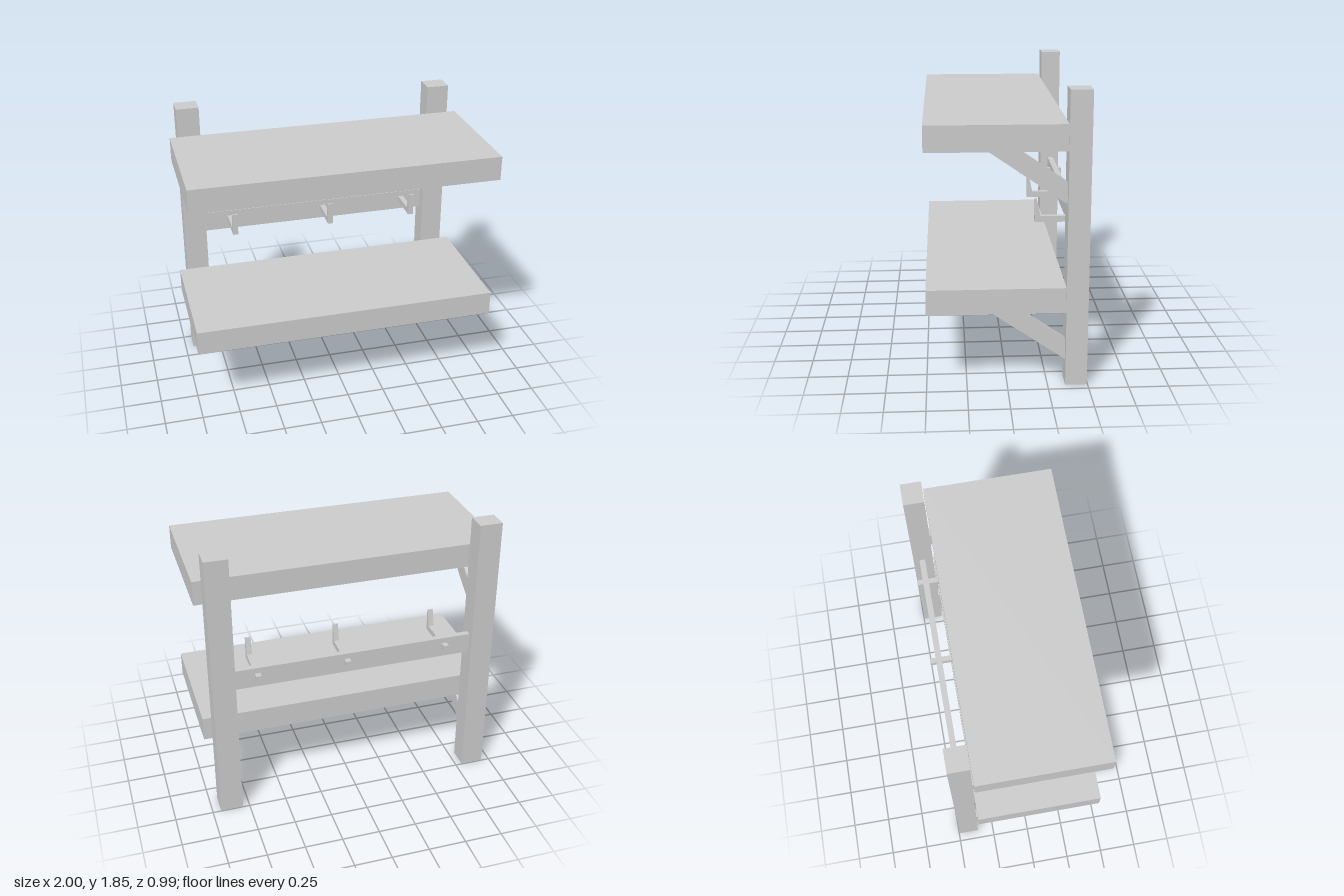
import * as THREE from 'three';

export function createModel() {
  const group = new THREE.Group();
  const grey = new THREE.MeshStandardMaterial({ color: 0xcccccc, side: THREE.DoubleSide });
  grey.name = 'plain grey';

  function add(name, geometry, parent = group) {
    const mesh = new THREE.Mesh(geometry, grey);
    mesh.name = name;
    parent.add(mesh);
    return mesh;
  }

  // Box given by its limits along each axis
  function block(name, [x0, x1], [y0, y1], [z0, z1]) {
    const geometry = new THREE.BoxGeometry(x1 - x0, y1 - y0, z1 - z0);
    geometry.translate((x0 + x1) / 2, (y0 + y1) / 2, (z0 + z1) / 2);
    return add(name, geometry);
  }

  // Side profile of [z, y] points, extruded to a width centred on x
  function profile(name, points, x, width) {
    const shape = new THREE.Shape(points.map(([z, y]) => new THREE.Vector2(z, y)));
    const geometry = new THREE.ExtrudeGeometry(shape, { depth: width, bevelEnabled: false });
    geometry.translate(0, 0, -width / 2).rotateY(-Math.PI / 2).translate(x, 0, 0);
    return add(name, geometry);
  }

  // Square posts, open at the foot
  for (const side of [-1, 1]) {
    const post = block('post', [side * 0.87 - 0.075, side * 0.87 + 0.075], [0, 1.85], [-0.495, -0.36]);
    const index = Array.from(post.geometry.index.array);
    index.splice(18, 6); // bottom face
    post.geometry.setIndex(index);
    post.geometry.clearGroups();
  }

  // Two shelves, each on a pair of slanted braces
  for (const y of [0.5, 1.5]) {
    block('shelf', [-1, 1], [y, y + 0.16], [-0.352, 0.495]);
    for (const side of [-1, 1]) {
      profile('brace', [
        [-0.36, y - 0.345], [0.14, y], [-0.05, y], [-0.36, y - 0.215],
      ], side * 0.875, 0.056);
    }
  }

  // Rail between the posts, carrying three hooks that pass through it
  block('rail', [-0.795, 0.795], [0.915, 1.05], [-0.455, -0.415]);
  for (const x of [-0.617, 0.055, 0.645]) {
    profile('hook', [
      [-0.495, 0.975], [-0.186, 0.975], [-0.186, 1.125],
      [-0.198, 1.125], [-0.222, 1.013], [-0.495, 1.013],
    ], x, 0.036);
  }

  return group;
}
